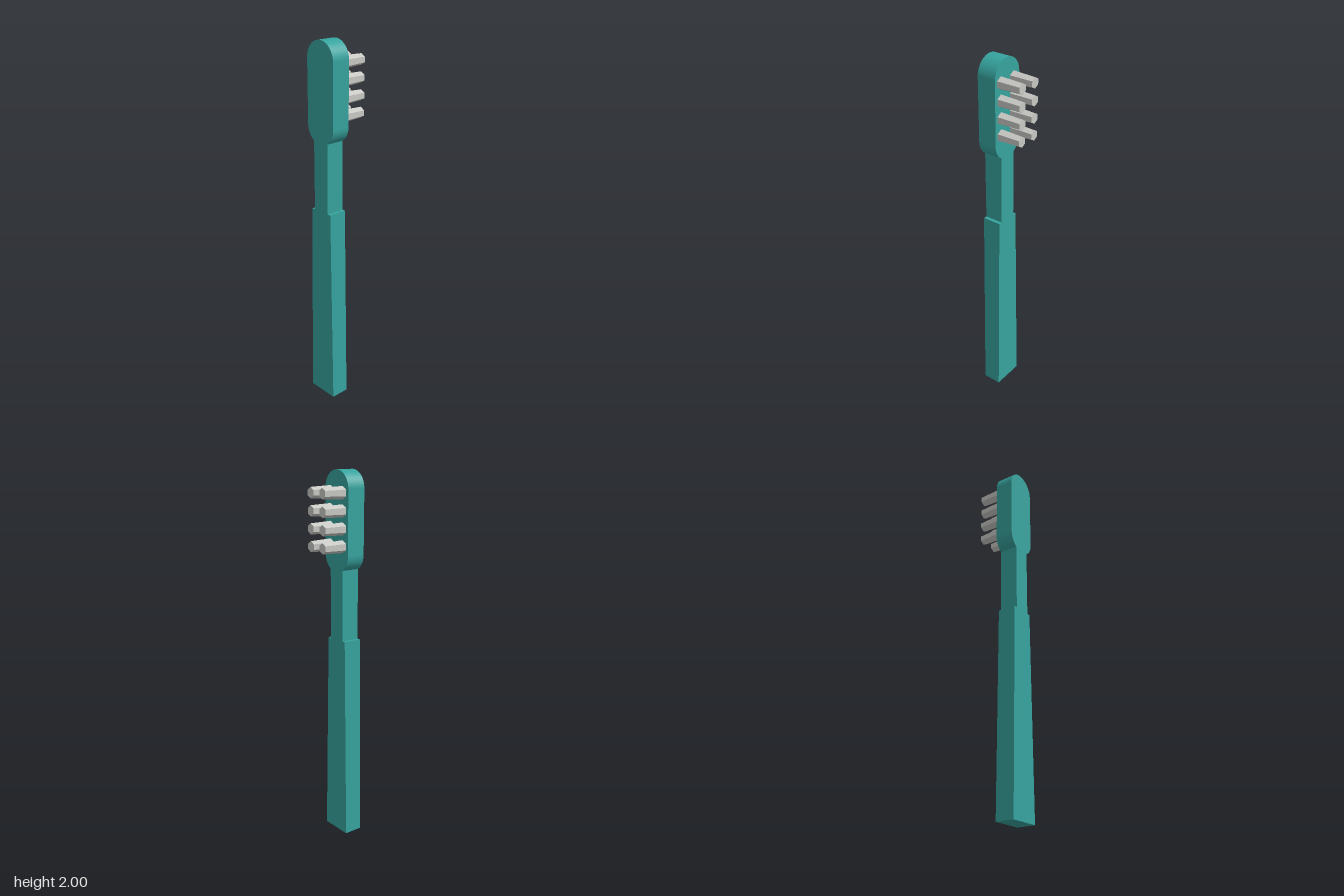
import * as THREE from 'three';

export function createModel() {
  const teal = new THREE.MeshStandardMaterial({ color: 0x36a39e });
  teal.name = 'teal plastic';
  const grey = new THREE.MeshStandardMaterial({ color: 0xc8c8c4, flatShading: true });
  grey.name = 'light grey bristle';

  const model = new THREE.Group();
  model.name = 'toothbrush';

  // Body: tapered handle, narrow neck and rounded head in one flat outline
  const back = 0.012, front = 0.115;
  const headR = 0.094, lowY = 1.575, highY = 2 - headR, neck = 0.05;
  const a = Math.acos(neck / headR);
  const outline = new THREE.Shape();
  outline.moveTo(-0.09, 0);
  outline.lineTo(0.09, 0);
  outline.lineTo(0.07, 1.12);
  outline.lineTo(neck, 1.12);
  outline.absarc(0, lowY, headR, -a, 0, false);
  outline.absarc(0, highY, headR, 0, Math.PI, false);
  outline.absarc(0, lowY, headR, Math.PI, Math.PI + a, false);
  outline.lineTo(-neck, 1.12);
  outline.lineTo(-0.07, 1.12);
  outline.closePath();
  const bodyGeometry = new THREE.ExtrudeGeometry(outline, {
    depth: front - back, bevelEnabled: false, curveSegments: 40,
  });
  bodyGeometry.translate(0, 0, back);
  const body = new THREE.Mesh(bodyGeometry, teal);
  body.name = 'handleAndHead';
  model.add(body);

  // Bristle tufts: two columns of four tapered hexagonal pegs, pointing backwards
  const tip = -0.115;
  const tuftGeometry = new THREE.CylinderGeometry(0.028, 0.0328, back - tip, 6);
  tuftGeometry.rotateX(-Math.PI / 2);
  const bristles = new THREE.Group();
  bristles.name = 'bristles';
  for (const x of [-0.049, 0.049]) {
    for (let row = 0; row < 4; row++) {
      const tuft = new THREE.Mesh(tuftGeometry, grey);
      tuft.name = 'bristleTuft';
      tuft.position.set(x, 1.62 + row * 0.0895, (back + tip) / 2);
      bristles.add(tuft);
    }
  }
  model.add(bristles);
  return model;
}
